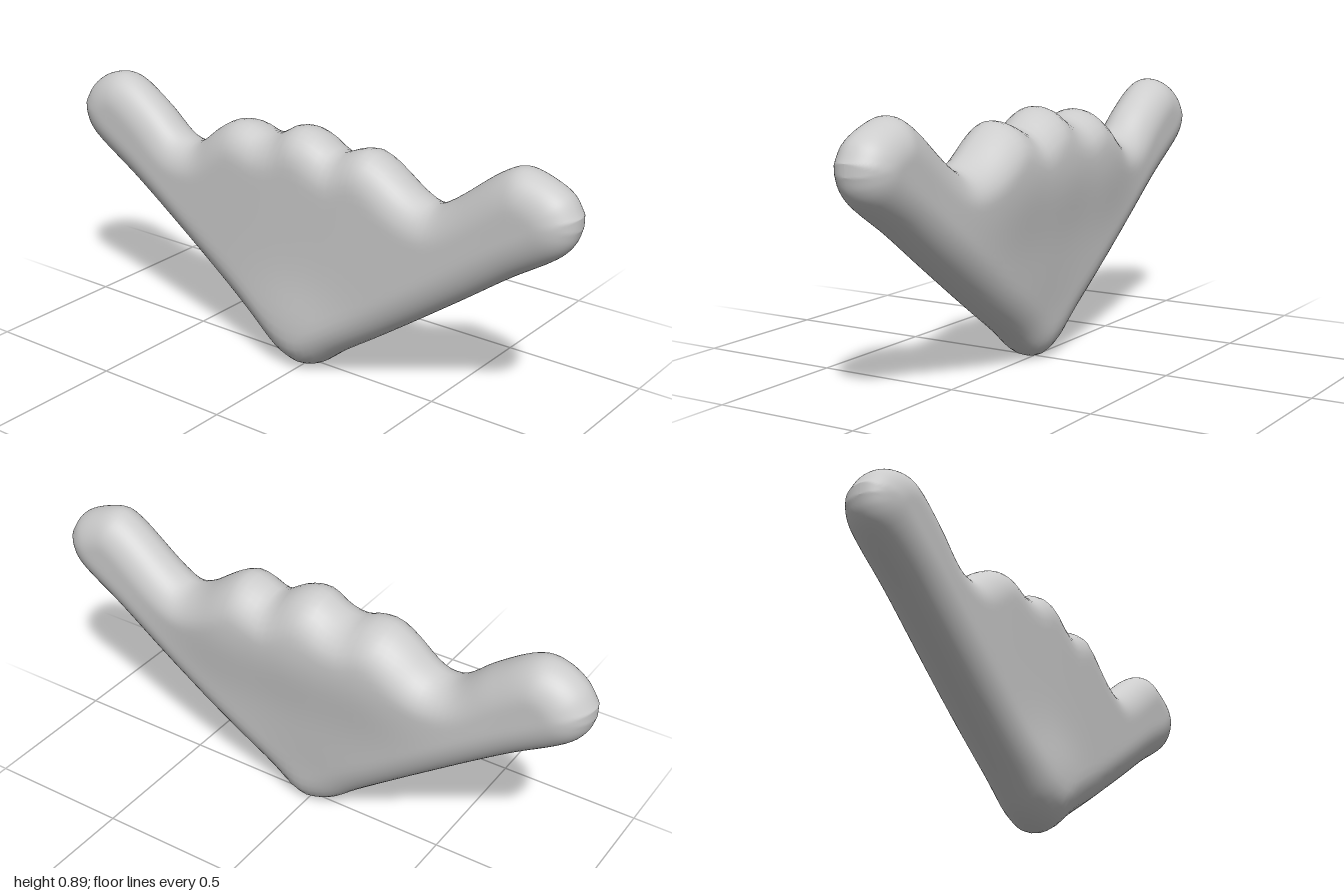
import * as THREE from 'three';

// Outline of the soft V-shaped body, both edges running from -x to +x
const TOP = [[-1, 0.77], [-0.96, 0.83], [-0.9, 0.872], [-0.83, 0.889], [-0.77, 0.873], [-0.65, 0.795], [-0.54, 0.708],
  [-0.47, 0.706], [-0.37, 0.78], [-0.3, 0.818], [-0.235, 0.82], [-0.17, 0.8], [-0.11, 0.81], [-0.05, 0.845], [0, 0.85], [0.06, 0.83],
  [0.13, 0.79], [0.19, 0.812], [0.25, 0.825], [0.31, 0.8], [0.43, 0.72], [0.5, 0.7], [0.56, 0.728],
  [0.74, 0.864], [0.8, 0.889], [0.88, 0.872], [0.96, 0.83], [1, 0.77]];
const BOTTOM = [[-1, 0.73], [-0.985, 0.685], [-0.95, 0.64], [-0.74, 0.505], [-0.47, 0.315], [-0.2, 0.115], [-0.1, 0.035],
  [-0.04, 0.008], [0, 0], [0.06, 0.015], [0.16, 0.09], [0.33, 0.205], [0.6, 0.395], [0.78, 0.525], [0.95, 0.64], [0.985, 0.685], [1, 0.73]];

function smooth(points, n) {
  const curve = new THREE.CatmullRomCurve3(points.map(([x, y]) => new THREE.Vector3(x, y, 0)), false, 'centripetal');
  return curve.getPoints(n);
}

// Height of an edge at x
function heightAt(edge, x) {
  let i = 1;
  while (i < edge.length - 1 && edge[i].x < x) i++;
  const a = edge[i - 1], b = edge[i];
  return a.y + (b.y - a.y) * THREE.MathUtils.clamp((x - a.x) / (b.x - a.x), 0, 1);
}

// Shortest distance from (x, y) to a closed loop
function edgeDistance(loop, x, y) {
  let best = Infinity;
  loop.forEach((a, i) => {
    const b = loop[(i + 1) % loop.length];
    const dx = b.x - a.x, dy = b.y - a.y;
    const t = THREE.MathUtils.clamp(((x - a.x) * dx + (y - a.y) * dy) / (dx * dx + dy * dy || 1), 0, 1);
    best = Math.min(best, Math.hypot(x - a.x - t * dx, y - a.y - t * dy));
  });
  return best;
}

const bump = (x, y, cx, cy, sx, sy) => Math.exp(-(((x - cx) / sx) ** 2) - ((y - cy) / sy) ** 2);

// Full depth of the front and back faces: swollen low front tip, swollen upper back
const frontDepth = (x, y) => 0.1 + 0.015 * Math.exp(-((x / 0.6) ** 2)) + 0.022 * bump(x, y, 0, 0.15, 0.2, 0.15);
const backDepth = (x, y) => 0.1 - 0.022 * bump(x, y, 0, 0.08, 0.3, 0.2)
  + 0.034 * (bump(x, y, -0.27, 0.65, 0.25, 0.2) + bump(x, y, 0.27, 0.65, 0.25, 0.2))
  + 0.018 * bump(x, y, 0, 0.66, 0.16, 0.2);

function bodyGeometry() {
  const columns = 112, rows = 28, ring = rows * 2, radius = 0.115, rim = 0.01;
  const top = smooth(TOP, 140), bottom = smooth(BOTTOM, 100);
  const loop = [...bottom, ...top.slice().reverse()];
  const positions = [], indices = [];

  // Each column is a closed ring: up the front face, down the back
  for (let i = 0; i <= columns; i++) {
    const x = Math.sin((i / columns - 0.5) * Math.PI);
    const low = heightAt(bottom, x), high = heightAt(top, x);
    for (let k = 0; k < ring; k++) {
      const j = k <= rows ? k : ring - k;
      const y = low + (high - low) * (0.5 - 0.5 * Math.cos((j / rows) * Math.PI));
      const onRim = j === 0 || j === rows || i === 0 || i === columns;
      const d = onRim ? 0 : Math.min(edgeDistance(loop, x, y) / radius, 1);
      const round = Math.sqrt(1 - (1 - d) ** 2);
      const z = k <= rows ? frontDepth(x, y) - rim : -backDepth(x, y) - rim;
      positions.push(x, y, rim + z * round);
    }
  }
  for (let i = 0; i < columns; i++) {
    for (let k = 0; k < ring; k++) {
      const next = (k + 1) % ring;
      const a = i * ring + k, b = a + ring, c = (i + 1) * ring + next, e = i * ring + next;
      indices.push(a, b, c, a, c, e);
    }
  }
  const geometry = new THREE.BufferGeometry();
  geometry.setAttribute('position', new THREE.Float32BufferAttribute(positions, 3));
  geometry.setIndex(indices);
  geometry.computeVertexNormals();
  return geometry;
}

export function createModel() {
  const group = new THREE.Group();
  const body = new THREE.Mesh(bodyGeometry(), new THREE.MeshStandardMaterial({ color: 0xcccccc, roughness: 0.8 }));
  body.name = 'wingedBody';
  group.add(body);
  return group;
}
